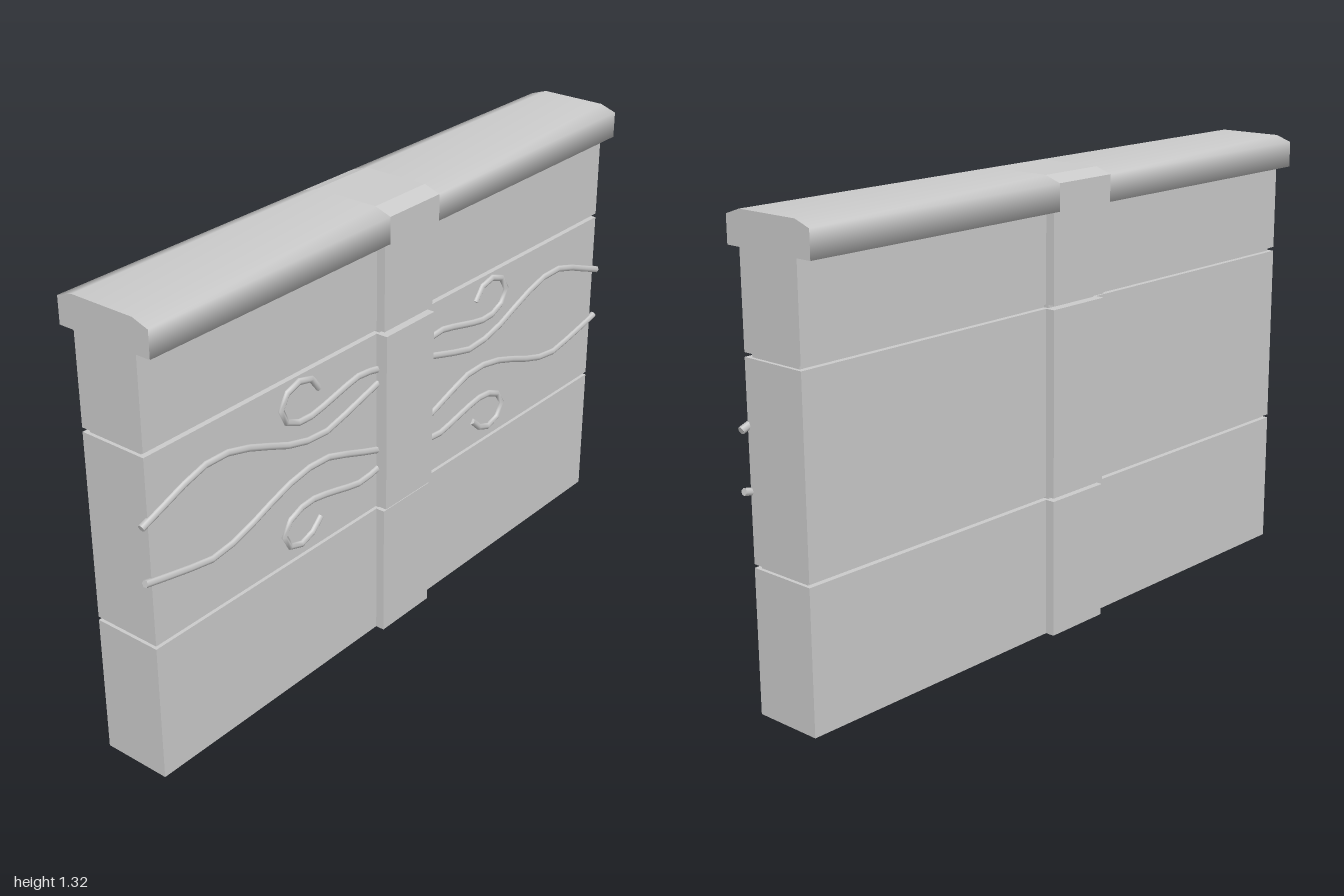
import * as THREE from 'three';
import { mergeVertices } from 'three/addons/utils/BufferGeometryUtils.js';

const stone = new THREE.MeshStandardMaterial({ color: 0xcccccc });
const facetedStone = new THREE.MeshStandardMaterial({ color: 0xcccccc, flatShading: true });
const halfLength = 0.978;
const halfPier = 0.105;

// Box given by its half width, height range and depth range
function block(name, halfX, y0, y1, zBack, zFront) {
  const geo = new THREE.BoxGeometry(halfX * 2, y1 - y0, zFront - zBack);
  const mesh = new THREE.Mesh(geo, stone);
  mesh.name = name;
  mesh.position.set(0, (y0 + y1) / 2, (zBack + zFront) / 2);
  return mesh;
}

// Bevelled coping profile [z, y], swept along x; long faces can share soft normals
const copingProfile = [
  [-0.15, 1.222], [0.15, 1.222], [0.15, 1.298], [0.1, 1.315], [-0.1, 1.315], [-0.15, 1.298],
];
function coping(name, x0, x1, smooth) {
  const positions = [];
  copingProfile.forEach(([z, y], i) => {
    const [z2, y2] = copingProfile[(i + 1) % copingProfile.length];
    positions.push(x0, y, z, x1, y2, z2, x0, y2, z2, x0, y, z, x1, y, z, x1, y2, z2);
  });
  let geo = new THREE.BufferGeometry();
  geo.setAttribute('position', new THREE.Float32BufferAttribute(positions, 3));
  if (smooth) geo = mergeVertices(geo);
  geo.computeVertexNormals();
  const mesh = new THREE.Mesh(geo, smooth ? stone : facetedStone);
  mesh.name = name;
  return mesh;
}

// Flat face closing the coping at the left (+1) or right (-1) end
function copingEnd(name, sign) {
  const shape = new THREE.Shape(copingProfile.map(([z, y]) => new THREE.Vector2(-sign * z, y)));
  const mesh = new THREE.Mesh(new THREE.ShapeGeometry(shape), stone);
  mesh.name = name;
  mesh.rotation.y = sign * Math.PI / 2;
  mesh.position.x = sign * halfLength;
  return mesh;
}

// Relief tendril: a thin low-poly tube through [x, y] points, closed at both ends
function tendril(name, points, sign) {
  const group = new THREE.Group();
  group.name = name;
  const radius = 0.0105;
  const curve = new THREE.CatmullRomCurve3(
    points.map(([x, y]) => new THREE.Vector3(sign * x, y, 0.105)));
  group.add(new THREE.Mesh(
    new THREE.TubeGeometry(curve, points.length + 3, radius, 6), stone));
  for (const t of [0, 1]) {
    const end = new THREE.Mesh(new THREE.CircleGeometry(radius, 6), stone);
    end.position.copy(curve.getPointAt(t));
    const outward = curve.getTangentAt(t).multiplyScalar(t ? 1 : -1);
    end.quaternion.setFromUnitVectors(new THREE.Vector3(0, 0, 1), outward);
    group.add(end);
  }
  return group;
}

const tendrils = {
  upperWave: [[0.09, 0.805], [0.2, 0.775], [0.335, 0.743], [0.47, 0.767], [0.58, 0.81],
    [0.69, 0.843], [0.79, 0.843], [0.9, 0.805], [1, 0.768]],
  lowerWave: [[0.09, 0.59], [0.2, 0.625], [0.31, 0.662], [0.42, 0.662], [0.55, 0.625],
    [0.66, 0.585], [0.765, 0.567], [0.87, 0.584], [1, 0.61]],
  upperCurl: [[0.09, 0.842], [0.18, 0.856], [0.28, 0.836], [0.39, 0.815], [0.46, 0.826],
    [0.495, 0.862], [0.49, 0.9], [0.445, 0.932], [0.38, 0.925], [0.347, 0.885]],
  lowerCurl: [[0.09, 0.537], [0.18, 0.524], [0.28, 0.544], [0.39, 0.562], [0.46, 0.546],
    [0.495, 0.512], [0.487, 0.473], [0.445, 0.446], [0.39, 0.457], [0.347, 0.495]],
};

export function createModel() {
  const model = new THREE.Group();
  model.name = 'gardenWall';

  // Three stone courses, each with its pier block
  const courses = [
    ['lower', 0, 0.403, 0.132],
    ['middle', 0.413, 0.951, 0.14],
    ['upper', 0.963, 1.23, 0.132],
  ];
  for (const [name, y0, y1, pierFront] of courses) {
    model.add(block(name + 'Course', halfLength, y0, y1, -0.102, 0.105));
    model.add(block(name + 'Pier', halfPier, y0, y1, -0.13, pierFront));
  }

  // Recessed joints between the courses
  for (const [y0, y1] of [[0.403, 0.413], [0.951, 0.963]]) {
    model.add(block('wallJoint', 0.968, y0, y1, -0.086, 0.088));
    model.add(block('pierJoint', 0.095, y0, y1, -0.102, 0.106));
  }

  // Coping: soft-shaded runs either side of a crisp block over the pier
  model.add(coping('rightCoping', -halfLength, -halfPier, true));
  model.add(coping('pierCoping', -halfPier, halfPier, false));
  model.add(coping('leftCoping', halfPier, halfLength, true));
  model.add(copingEnd('leftCopingEnd', 1), copingEnd('rightCopingEnd', -1));

  // Relief tendrils mirrored about the pier, on the front only
  for (const [name, points] of Object.entries(tendrils)) {
    model.add(tendril(name + 'Left', points, 1));
    model.add(tendril(name + 'Right', points, -1));
  }
  return model;
}
